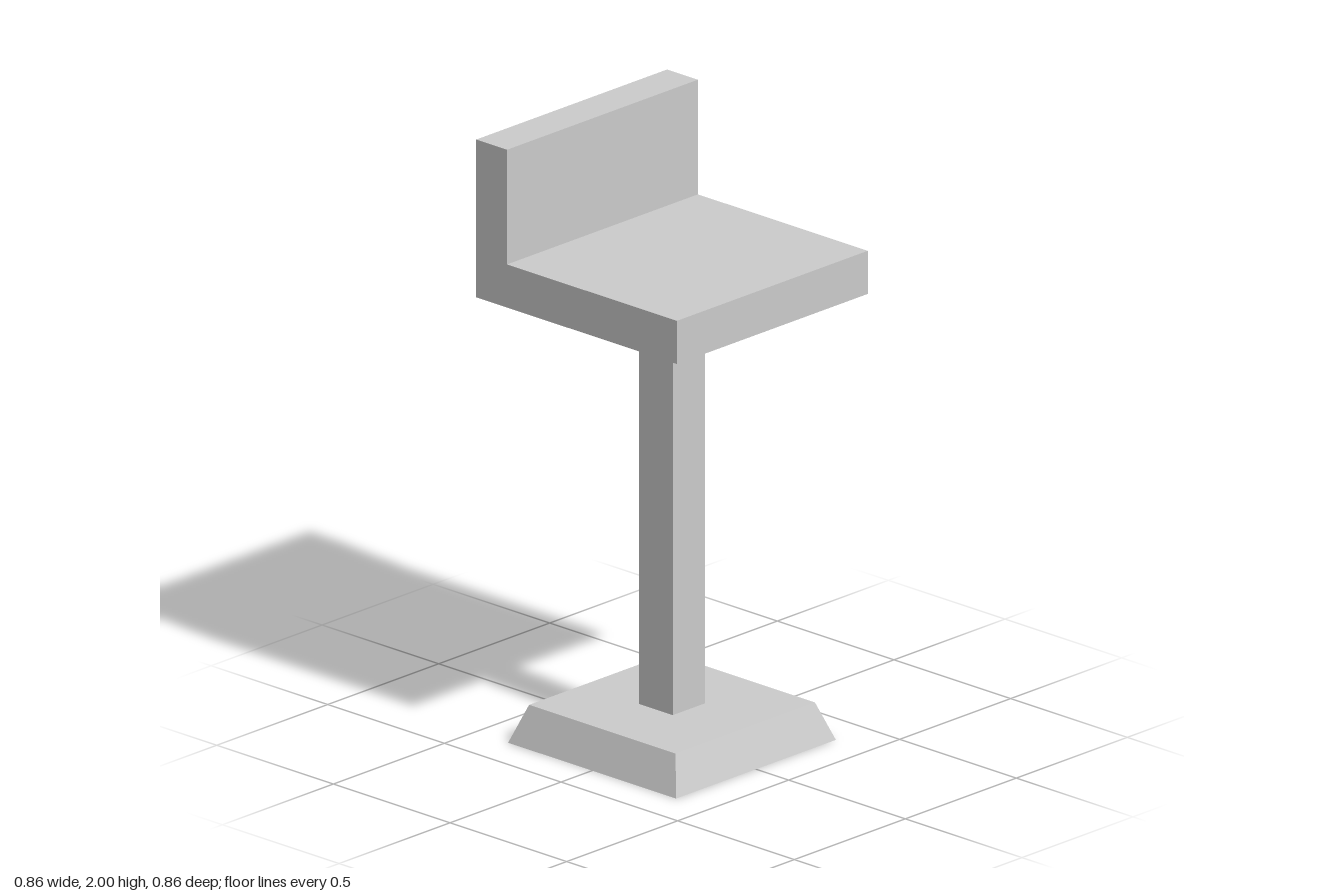
import * as THREE from 'three';

export function createModel() {
  const model = new THREE.Group();
  model.name = 'barStool';
  const material = new THREE.MeshStandardMaterial({ color: 0xcccccc, flatShading: true });

  const add = (name, geometry, y = 0) => {
    const mesh = new THREE.Mesh(geometry, material);
    mesh.name = name;
    mesh.position.y = y;
    model.add(mesh);
  };

  const baseHeight = 0.125;
  const seatBottom = 1.477;
  const seatTop = 1.62;
  const half = 0.43;        // half the seat width and depth
  const backFront = -0.298; // front face of the backrest

  // Square tapered foot: a four-sided cylinder turned so its sides face the axes
  const foot = new THREE.CylinderGeometry(0.314 * Math.SQRT2, 0.36 * Math.SQRT2, baseHeight, 4);
  foot.rotateY(Math.PI / 4);
  add('base', foot, baseHeight / 2);

  // Square column from foot to seat
  const columnHeight = seatBottom - baseHeight;
  add('column', new THREE.BoxGeometry(0.145, columnHeight, 0.145), baseHeight + columnHeight / 2);

  // Seat and backrest in one piece: L-shaped side profile (z, y) extruded across x
  const profile = new THREE.Shape([
    [-half, seatBottom], [half, seatBottom], [half, seatTop],
    [backFront, seatTop], [backFront, 2], [-half, 2],
  ].map(([z, y]) => new THREE.Vector2(z, y)));
  const seat = new THREE.ExtrudeGeometry(profile, { depth: half * 2, bevelEnabled: false });
  seat.translate(0, 0, -half);
  seat.rotateY(-Math.PI / 2);
  add('seatWithBackrest', seat);

  return model;
}
